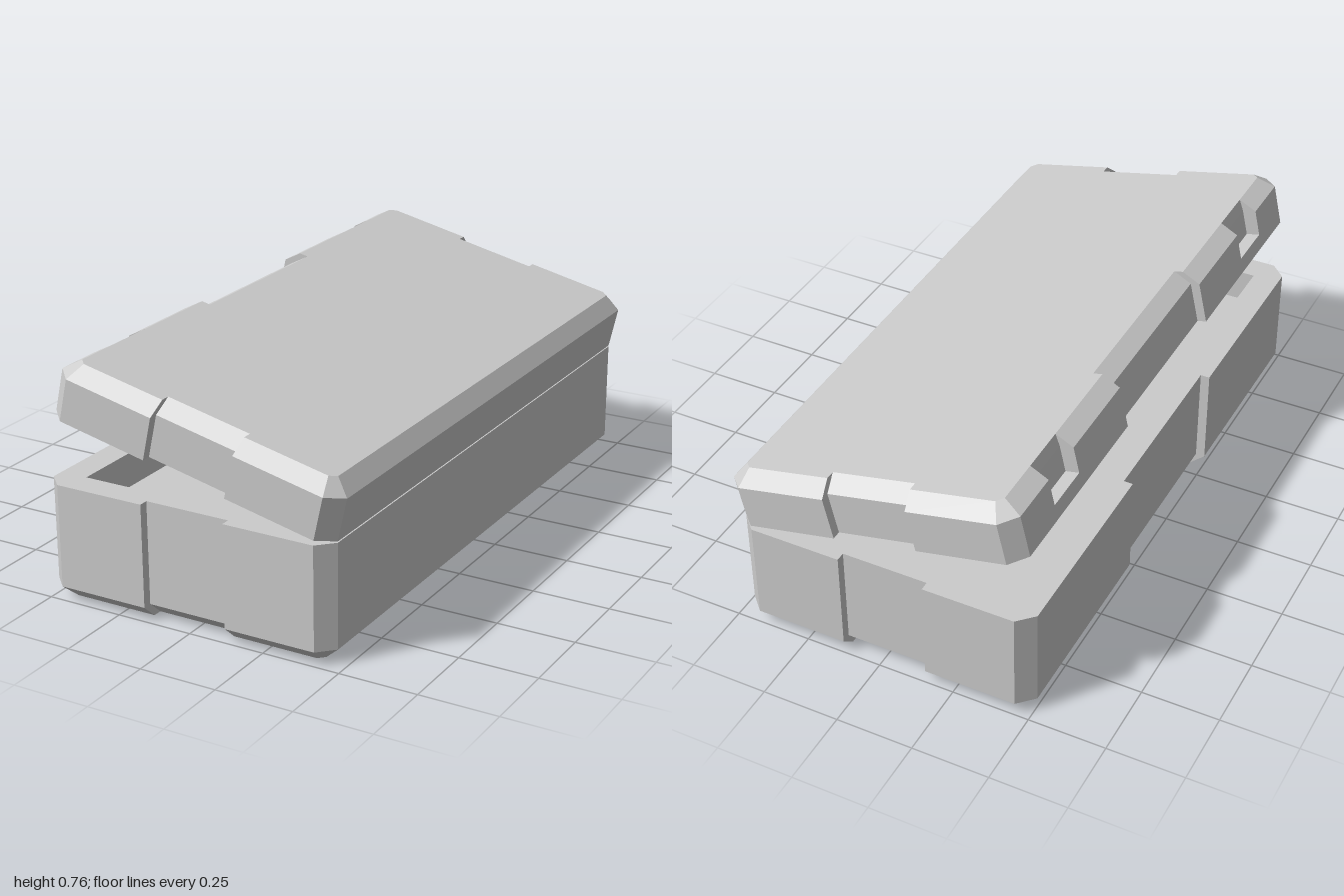
import * as THREE from 'three';

const HX = 0.4875, HZ = 1;        // half width and half length of the case
const WALL = 0.09, NOTCH = 0.03;  // rim width and depth of the shallow recesses
const TILT = 12.6 * Math.PI / 180;

// Outline at one height: a chamfered rectangle with recesses on both ends and the opening side
function outline({ inset = 0, latch = false, inner = false }) {
  const X = HX - inset, Z = HZ - inset, c = 0.05 - 0.6 * inset;
  const L = latch ? Math.min(X, HX - 0.045) : X;
  const half = [
    [X, -Z + c], [X - c, -Z],
    [0.14, -Z], [0.14, -Z + NOTCH], [-0.14, -Z + NOTCH], [-0.14, -Z],
    [-X + c, -Z], [-X, -Z + c],
    [-X, -0.775], [-L, -0.775], [-L, -0.615], [-X, -0.615],
    [-X, -0.3], [-X + NOTCH, -0.3],
  ];
  const all = [...half, ...half.map(([x, z]) => [x, -z]).reverse()];
  if (!inner) return all;
  // the cavity is the same outline squeezed into a plain rectangle
  const clamp = THREE.MathUtils.clamp;
  return all.map(([x, z]) => [clamp(x, -HX + WALL, HX - WALL), clamp(z, -HZ + WALL, HZ - WALL)]);
}

// Joins successive outlines and closes the first (facing down) and last (facing up)
function loft(levels) {
  const rings = levels.map((l) => outline(l).map(([x, z]) => new THREE.Vector3(x, l.y, z)));
  const pos = [];
  const tri = (a, b, c) => {
    const area = b.clone().sub(a).cross(c.clone().sub(a)).length();
    if (area > 1e-8) for (const p of [a, b, c]) pos.push(p.x, p.y, p.z);
  };
  for (let i = 0; i < rings.length - 1; i++) {
    const lo = rings[i], hi = rings[i + 1];
    for (let j = 0; j < lo.length; j++) {
      const k = (j + 1) % lo.length;
      tri(lo[j], lo[k], hi[k]);
      tri(lo[j], hi[k], hi[j]);
    }
  }
  const cap = (ring, up) => {
    const flat = ring.map((p) => new THREE.Vector2(p.x, -p.z));
    for (const [a, b, c] of THREE.ShapeUtils.triangulateShape(flat, [])) {
      if (up) tri(ring[a], ring[b], ring[c]);
      else tri(ring[a], ring[c], ring[b]);
    }
  };
  cap(rings[0], false);
  cap(rings[rings.length - 1], true);
  const g = new THREE.BufferGeometry();
  g.setAttribute('position', new THREE.Float32BufferAttribute(pos, 3));
  g.computeVertexNormals();
  return g;
}

export function createModel() {
  const model = new THREE.Group();
  model.name = 'openCase';
  const material = new THREE.MeshStandardMaterial({ color: 0xcccccc, flatShading: true });

  // Base tray: bevelled bottom, straight walls, flat rim, shallow cavity
  const base = new THREE.Mesh(loft([
    { y: 0, inset: 0.05 },
    { y: 0.045 },
    { y: 0.375 },
    { y: 0.375, inner: true },
    { y: 0.265, inner: true },
  ]), material);
  base.name = 'base';
  base.position.x = -0.0175;
  model.add(base);

  // Lid: hollow underside, latch pockets on the opening side, bevelled top
  const lid = new THREE.Mesh(loft([
    { y: 0.09, inner: true },
    { y: 0, inner: true },
    { y: 0 },
    { y: 0.05 },
    { y: 0.05, latch: true },
    { y: 0.138, latch: true },
    { y: 0.18, inset: 0.05, latch: true },
  ]), material);
  lid.name = 'lid';
  lid.position.x = -HX;

  // Hinge line along the closed side
  const hinge = new THREE.Group();
  hinge.name = 'lidHinge';
  hinge.position.set(0.47, 0.379, 0);
  hinge.rotation.z = -TILT;
  hinge.add(lid);
  model.add(hinge);
  return model;
}
